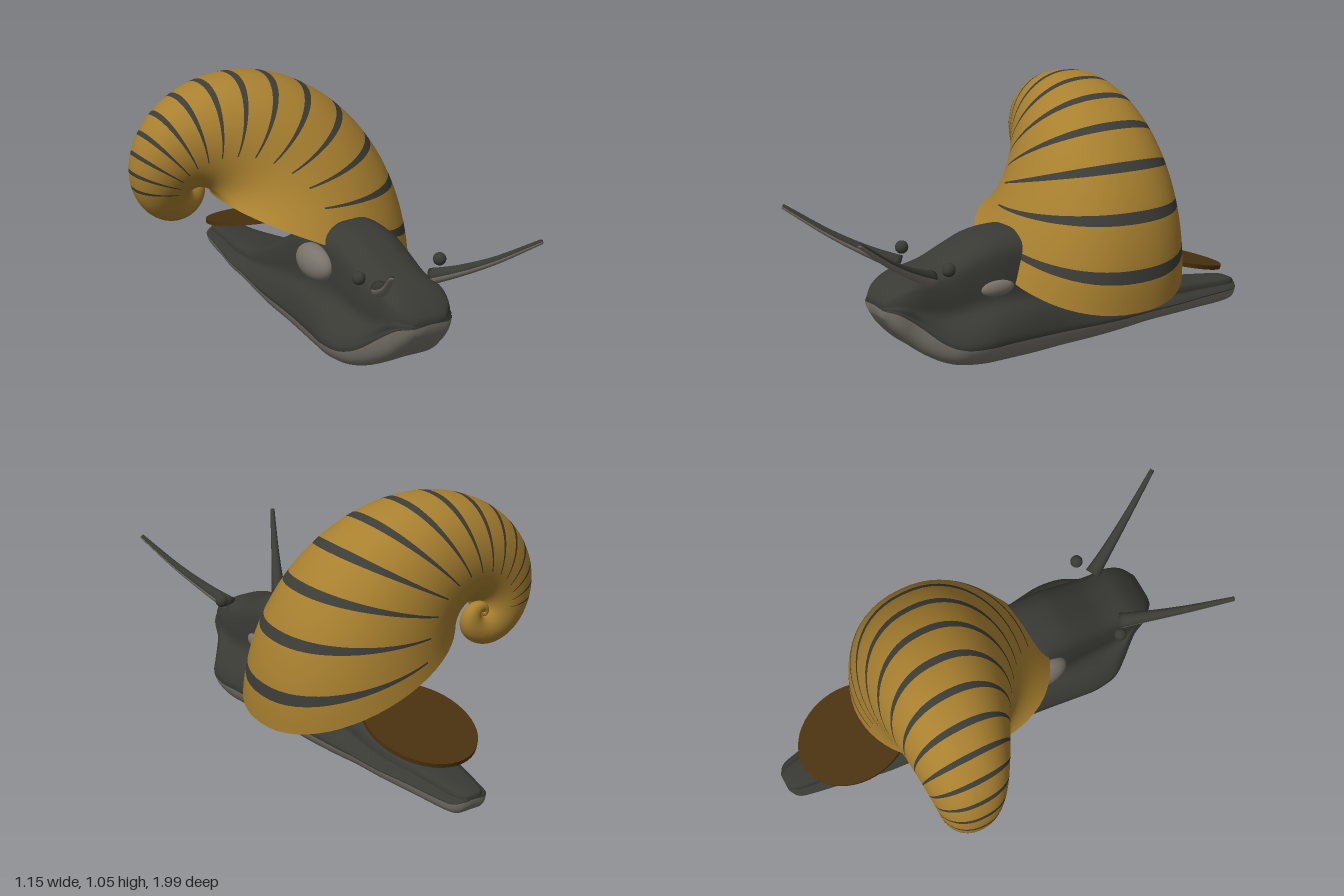
import * as THREE from 'three';

const CX = 0.13; // the body's centre line
const V = (x, y, z) => new THREE.Vector3(x, y, z);
const lerp = THREE.MathUtils.lerp;

// Skin over closed rings of points; pick(i, j) gives the material index of each face.
function loft(rings, pick) {
  const n = rings[0].length, faces = [[], []];
  for (let i = 0; i < rings.length - 1; i++) {
    for (let j = 0; j < n; j++) {
      const k = (j + 1) % n, a = i * n + j, b = i * n + k;
      faces[pick(i, j)].push(a, b, a + n, b, b + n, a + n);
    }
  }
  const g = new THREE.BufferGeometry().setFromPoints(rings.flat());
  g.setIndex(faces.flat());
  g.addGroup(0, faces[0].length, 0);
  g.addGroup(faces[0].length, faces[1].length, 1);
  g.computeVertexNormals();
  return g;
}

// Close both ends of a ring list with a centre point.
function capped(rings) {
  const end = (r) => {
    const c = r.reduce((s, p) => s.add(p), V(0, 0, 0)).divideScalar(r.length);
    return r.map(() => c.clone());
  };
  return [end(rings[0]), ...rings, end(rings[rings.length - 1])];
}

// Foot, neck and head as one skin from tail to snout.
function bodyGeometry() {
  // z, sole bottom, sole edge, foot half-width, neck half-width, top
  const stations = [
    [-1.0, 0.06, 0.08, 0.04, 0.03, 0.1], [-0.97, 0.025, 0.07, 0.08, 0.055, 0.112],
    [-0.9, 0.016, 0.07, 0.1, 0.07, 0.12], [-0.75, 0.018, 0.075, 0.13, 0.09, 0.135],
    [-0.6, 0.022, 0.08, 0.165, 0.12, 0.155], [-0.45, 0.02, 0.08, 0.18, 0.13, 0.19],
    [-0.3, 0.012, 0.08, 0.2, 0.14, 0.27], [-0.15, 0.008, 0.085, 0.22, 0.15, 0.36],
    [0, 0.005, 0.09, 0.23, 0.16, 0.46], [0.15, 0.001, 0.095, 0.245, 0.165, 0.505],
    [0.3, 0.004, 0.1, 0.265, 0.165, 0.5], [0.4, 0.008, 0.1, 0.275, 0.16, 0.465],
    [0.5, 0.02, 0.105, 0.26, 0.155, 0.42], [0.57, 0.045, 0.13, 0.215, 0.15, 0.4],
    [0.65, 0.1, 0.2, 0.155, 0.145, 0.38], [0.72, 0.17, 0.25, 0.13, 0.12, 0.335],
    [0.765, 0.235, 0.262, 0.08, 0.07, 0.29],
  ];
  const spline = (k) => new THREE.CatmullRomCurve3(
    stations.map((s) => V(s[k], s[k + 1], s[k + 2])), false, 'catmullrom');
  const low = spline(0), high = spline(3), N = 64, SUB = 4, rings = [];
  for (let i = 0; i <= N; i++) {
    const { x: z, y: yb, z: ye } = low.getPoint(i / N);
    const { x: wf, y: wh, z: yt } = high.getPoint(i / N);
    const up = (f) => lerp(ye, yt, f);
    const half = [
      [0.6 * wf, yb], [0.88 * wf, lerp(yb, ye, 0.35)], [wf, ye], [0.97 * wf, up(0.12)],
      [lerp(wh, wf, 0.6), up(0.25)], [lerp(wh, wf, 0.05), up(0.38)], [0.97 * wh, up(0.62)],
      [0.85 * wh, up(0.86)], [0.45 * wh, up(0.98)],
    ];
    const pts = [[0, yb], ...half, [0, yt], ...half.slice().reverse().map(([x, y]) => [-x, y])];
    const ring = new THREE.CatmullRomCurve3(
      pts.map(([x, y]) => V(CX + x, y, z)), true, 'catmullrom').getPoints(pts.length * SUB);
    ring.pop();
    rings.push(ring);
  }
  const n = rings[0].length;
  return loft(capped(rings), (i, j) => (j < 3 * SUB || j >= n - 3 * SUB ? 1 : 0));
}

// Logarithmic spiral whorl with narrow bands that taper towards the axis.
function shellGeometry() {
  const START = -23, PERIOD = 14.5, PERIODS = 48, COLS = 6, SIDES = 56, STRIPES = 14;
  const reach = (j) => 0.52 + 0.48 * Math.sin((j / SIDES) * Math.PI * 2);
  const rings = [];
  for (let i = 0; i <= PERIODS * COLS; i++) {
    const ring = [];
    for (let j = 0; j < SIDES; j++) {
      const f = reach(j), w = lerp(0.07, 0.22, Math.max(0, (f - 0.4) / 0.6));
      const frac = [0, 0.2, 0.4, 0.6 - w / 2, 0.6 + w / 2, 0.82][i % COLS];
      const turn = (Math.floor(i / COLS) + frac) * PERIOD;
      const s = 0.95 * Math.exp(-0.0064 * turn);
      const a = THREE.MathUtils.degToRad(START + turn);
      const c = Math.cos((j / SIDES) * Math.PI * 2);
      const side = Math.sign(c) * Math.abs(c) ** 0.9;
      ring.push(V(-0.31 + s * f * Math.cos(a), 0.56 + s * f * Math.sin(a),
        -0.483 + s * (0.32 + 0.45 * side)));
    }
    rings.push(ring);
  }
  return loft(rings, (i, j) =>
    (i % COLS === 3 && i < STRIPES * COLS && reach(j + 0.5) > 0.42 ? 1 : 0));
}

// Curved tapering feeler, pale underneath.
function tentacleGeometry(side) {
  const path = new THREE.CatmullRomCurve3(
    [[0.125, 0.375, 0.585], [0.18, 0.425, 0.69], [0.25, 0.5, 0.82], [0.34, 0.618, 0.985]]
      .map(([x, y, z]) => V(CX + side * x, y, z)));
  const N = 20, SIDES = 16, rings = [];
  for (let i = 0; i <= N; i++) {
    const t = i / N, p = path.getPoint(t), dir = path.getTangent(t);
    const e1 = V(0, 1, 0).cross(dir).normalize(), e2 = dir.clone().cross(e1);
    const r = lerp(0.034, 0.01, t ** 0.8);
    rings.push(Array.from({ length: SIDES }, (_, j) => {
      const a = (j / SIDES) * Math.PI * 2;
      return p.clone().addScaledVector(e1, r * Math.cos(a)).addScaledVector(e2, r * Math.sin(a));
    }));
  }
  return loft(capped(rings), (i, j) => (j >= SIDES / 2 ? 1 : 0));
}

export function createModel() {
  const mat = (name, color, side = THREE.FrontSide) => {
    const m = new THREE.MeshStandardMaterial({ color, side });
    m.name = name;
    return m;
  };
  const skin = mat('darkSkin', 0x393a34);
  const pale = mat('paleSkin', 0x78746b);
  const gold = mat('goldShell', 0xa8802f, THREE.DoubleSide);
  const band = mat('darkBand', 0x3c3d37, THREE.DoubleSide);
  const horn = mat('brownHorn', 0x4a3210);

  const model = new THREE.Group();
  const add = (name, geometry, material) => {
    const m = new THREE.Mesh(geometry, material);
    m.name = name;
    model.add(m);
    return m;
  };

  add('body', bodyGeometry(), [skin, pale]);
  add('shell', shellGeometry(), [gold, band]);

  // Feelers and eyes
  for (const side of [-1, 1]) {
    const label = side > 0 ? 'left' : 'right';
    add(label + 'Tentacle', tentacleGeometry(side), [skin, pale]);
    add(label + 'Eye', new THREE.SphereGeometry(0.027, 20, 14), skin)
      .position.set(CX + side * 0.192, 0.42, 0.54);
  }

  // Pale mantle folds beside the neck
  const ball = new THREE.SphereGeometry(1, 28, 18);
  const rightFold = add('rightMantleFold', ball, pale);
  rightFold.position.set(-0.035, 0.35, 0.17);
  rightFold.scale.set(0.06, 0.075, 0.12);
  const leftFold = add('leftMantleFold', ball, pale);
  leftFold.position.set(0.28, 0.3, 0.3);
  leftFold.scale.set(0.03, 0.036, 0.08);

  // Oval trapdoor plate carried over the tail
  const plate = add('trapdoor', new THREE.CylinderGeometry(1, 1, 0.018, 48), horn);
  plate.position.set(CX, 0.252, -0.65);
  plate.rotation.x = -0.255;
  plate.scale.set(0.21, 1, 0.257);

  return model;
}
